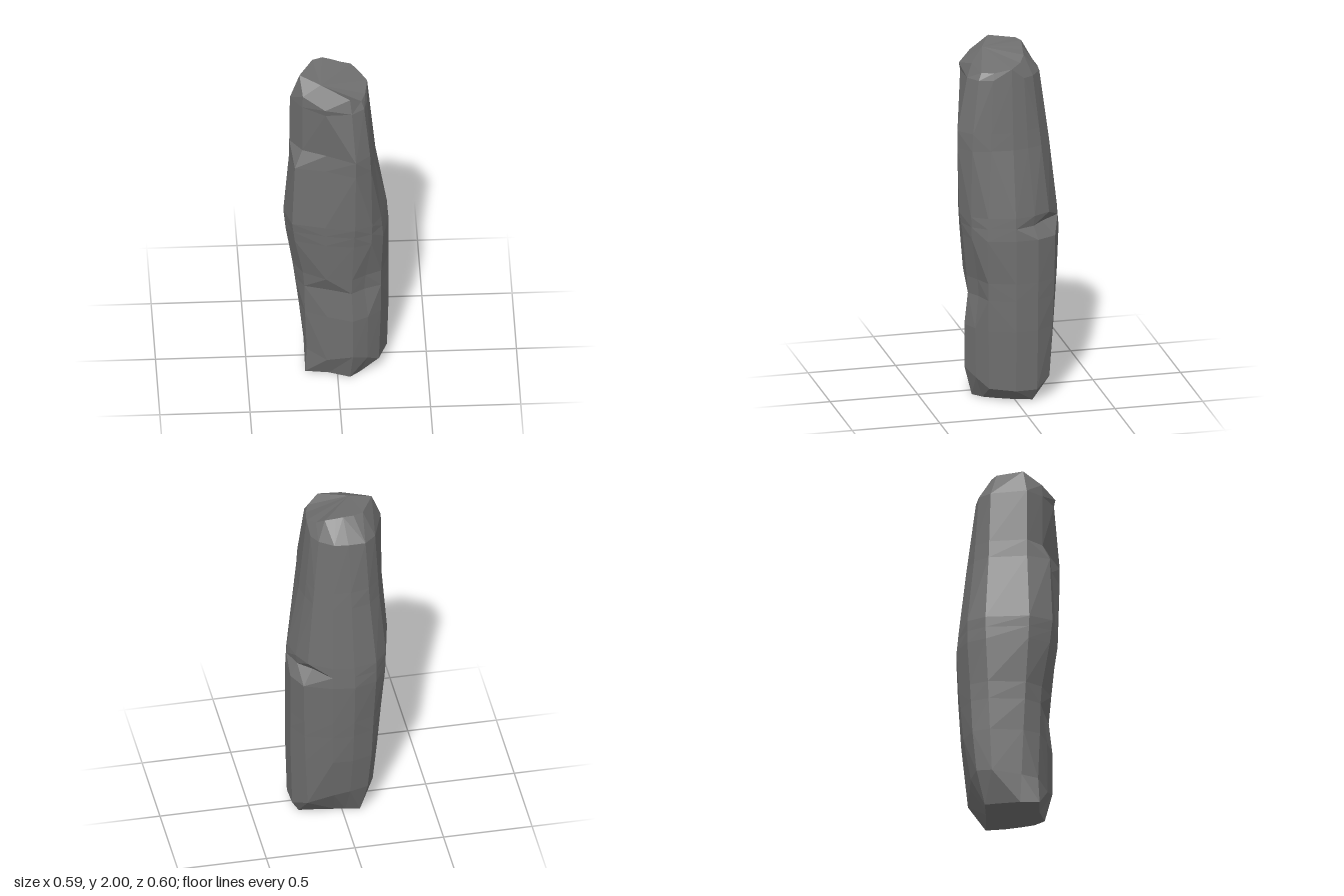
import * as THREE from 'three';

// Directions of the vertical ridges, in degrees from +z towards +x
const ridges = [18, 38, 57, 88, 112, 134, 164, 188, 213, 235, 283, 309, 344];
const N = ridges.length;

// Bevel height above the ground at each ridge
const bevel = [.17, .13, .08, .07, .07, .12, .16, .18, .19, .18, .16, .15, .12];

// Cross-sections from the ground up: distance of each ridge from the axis
const sections = [
  { y: 0, r: [.22, .205, .19, .205, .255, .16, .13, .137, .18, .15, .168, .228, .17] },
  { y: bevel, r: [.267, .265, .275, .282, .298, .287, .22, .222, .242, .215, .187, .217, .215] },
  { y: .42, r: [.268, .272, .287, .292, .308, .308, .268, .265, .272, .24, .215, .23, .212] },
  { y: .7, r: [.253, .25, .29, .291, .309, .32, .285, .29, .29, .265, .25, .245, .235] },
  { y: .95, r: [.28, .302, .303, .291, .31, .325, .295, .303, .31, .29, .29, .305, .255] },
  { y: 1.08, r: [.3, .308, .29, .281, .276, .285, .285, .29, .31, .295, .303, .325, .262] },
  { y: 1.46, r: [.312, .298, .245, .217, .215, .235, .242, .245, .26, .255, .27, .305, .238] },
  { y: 1.86, r: [.25, .24, .2, .178, .177, .18, .188, .192, .225, .23, .265, .25, .25] },
];

// Uneven rim of the top face: radius and height at each ridge
const rim = {
  r: [.22, .215, .187, .172, .14, .12, .095, .1, .13, .155, .21, .245, .258],
  y: [1.94, 1.9, 1.9, 1.92, 1.94, 1.97, 1.98, 1.99, 2, 2, 2, 1.93, 1.9],
};

// Chips knocked out of the stone: ridge index -> reduced radius
const chips = [
  { y: .6, cut: { 0: .245, 1: .24, 11: .235, 12: .195 } },
  { y: 1.02, cut: { 4: .265, 5: .24 } },
  { y: 1.56, cut: { 0: .313, 1: .29, 11: .25, 12: .225 } },
];

// Insert a section for each chip, blended from its neighbours
function withChips() {
  const rings = [...sections];
  for (const { y, cut } of chips) {
    const k = rings.findIndex((s) => s.y > y);
    const lo = rings[k - 1], hi = rings[k];
    const t = (y - lo.y) / (hi.y - lo.y);
    const r = lo.r.map((v, i) => cut[i] ?? THREE.MathUtils.lerp(v, hi.r[i], t));
    rings.splice(k, 0, { y, r });
  }
  return [...rings, rim];
}

function stoneGeometry() {
  const rings = withChips();
  const last = rings.length - 1;
  const position = [], index = [];
  rings.forEach(({ y, r }) => r.forEach((radius, i) => {
    const a = THREE.MathUtils.degToRad(ridges[i]);
    position.push(radius * Math.sin(a), y[i] ?? y, radius * Math.cos(a));
  }));

  // Sides, splitting each quad along its more prominent diagonal
  for (let k = 0; k < last; k++) {
    for (let i = 0; i < N; i++) {
      const j = (i + 1) % N;
      const a = k * N + i, b = k * N + j, c = b + N, d = a + N;
      const lo = rings[k].r, hi = rings[k + 1].r;
      if (lo[i] + hi[j] > lo[j] + hi[i]) index.push(a, b, c, a, c, d);
      else index.push(a, b, d, b, c, d);
    }
  }

  // Flat foot and sloping top
  const foot = position.length / 3, crown = foot + 1;
  position.push(0.02, 0, 0.02, -0.09, 1.975, 0.11);
  for (let i = 0; i < N; i++) {
    const j = (i + 1) % N;
    index.push(foot, j, i, crown, last * N + i, last * N + j);
  }

  const indexed = new THREE.BufferGeometry();
  indexed.setAttribute('position', new THREE.Float32BufferAttribute(position, 3));
  indexed.setIndex(index);
  const geometry = indexed.toNonIndexed();
  geometry.computeVertexNormals();
  return geometry;
}

export function createModel() {
  const group = new THREE.Group();
  group.name = 'standingStone';
  const material = new THREE.MeshStandardMaterial({ color: 0x6e6e6e, flatShading: true });
  const stone = new THREE.Mesh(stoneGeometry(), material);
  stone.name = 'stonePillar';
  group.add(stone);
  return group;
}
